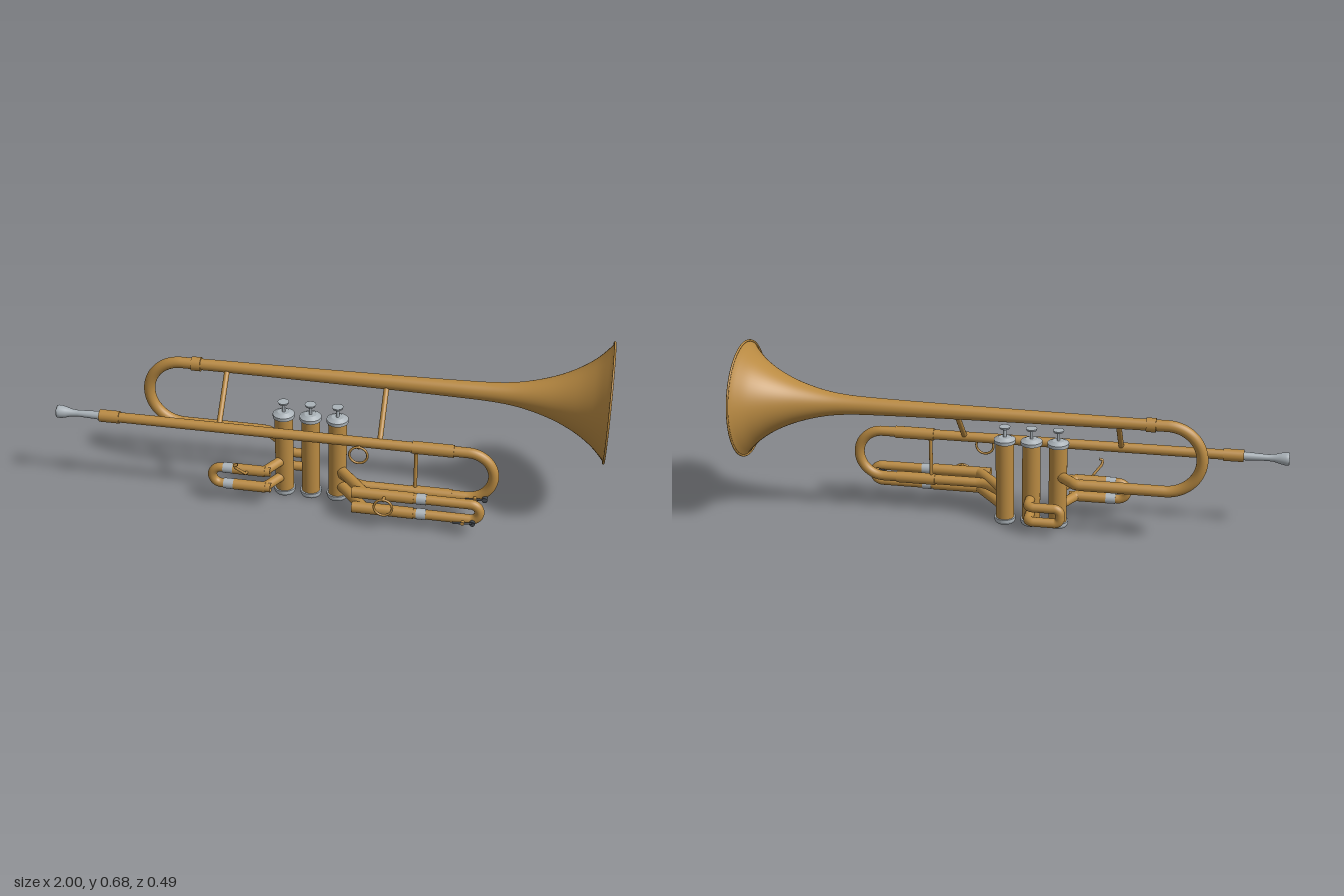
import * as THREE from 'three';

const V = (x, y, z) => new THREE.Vector3(x, y, z);

export function createModel() {
  const model = new THREE.Group();
  model.name = 'trumpet';
  const mat = (name, color, side = THREE.FrontSide) => {
    const m = new THREE.MeshStandardMaterial({ color, side });
    m.name = name;
    return m;
  };
  const brass = mat('brass', 0xb98a42, THREE.DoubleSide);
  const silver = mat('silver', 0xaab2b8, THREE.DoubleSide);
  const dark = mat('dark steel', 0x454a50);

  const add = (name, geo, material, parent = model) => {
    const mesh = new THREE.Mesh(geo, material);
    mesh.name = name;
    parent.add(mesh);
    return mesh;
  };

  // Path through points with circular fillets of radius r at the corners
  const roundedPath = (pts, radius) => {
    const path = new THREE.CurvePath();
    let from = pts[0];
    const lineTo = (to) => {
      if (from.distanceTo(to) > 1e-4) path.add(new THREE.LineCurve3(from, to));
      from = to;
    };
    for (let i = 1; i < pts.length - 1; i++) {
      const a = pts[i].clone().sub(pts[i - 1]).normalize();
      const b = pts[i + 1].clone().sub(pts[i]).normalize();
      const turn = a.angleTo(b);
      const t = radius * Math.tan(turn / 2);
      const h = radius * (4 / 3) * Math.tan(turn / 4);
      const p = pts[i].clone().addScaledVector(a, -t);
      const q = pts[i].clone().addScaledVector(b, t);
      lineTo(p);
      path.add(new THREE.CubicBezierCurve3(p, p.clone().addScaledVector(a, h), q.clone().addScaledVector(b, -h), q));
      from = q;
    }
    lineTo(pts[pts.length - 1]);
    return path;
  };
  const pipe = (name, pts, radius, r, material = brass, segments = 120) =>
    add(name, new THREE.TubeGeometry(roundedPath(pts, radius), segments, r, 20), material);

  // Straight capped rod between two points
  const rod = (name, a, b, r, material = brass) => {
    const m = add(name, new THREE.CylinderGeometry(r, r, a.distanceTo(b), 24), material);
    m.position.copy(a).add(b).multiplyScalar(0.5);
    m.quaternion.setFromUnitVectors(V(0, 1, 0), b.clone().sub(a).normalize());
    return m;
  };
  const sleeve = (name, x0, x1, y, z, r, material = brass) => rod(name, V(x0, y, z), V(x1, y, z), r, material);

  // Profile of [x, radius] pairs turned about an axis along x
  const turned = (name, profile, y, z, material, smooth) => {
    let pts = profile.map(([x, r]) => new THREE.Vector2(r, x));
    if (smooth) pts = new THREE.SplineCurve(pts).getPoints(60);
    const m = add(name, new THREE.LatheGeometry(pts, 64), material);
    m.rotation.z = -Math.PI / 2;
    m.position.set(0, y, z);
    return m;
  };

  // Bell with its rolled rim
  const bellY = 0.466, bellZ = -0.025;
  turned('bell', [[-0.5, 0.021], [-0.2, 0.023], [0.2, 0.027], [0.45, 0.031], [0.6, 0.036], [0.7, 0.049],
    [0.8, 0.077], [0.88, 0.113], [0.94, 0.153], [0.98, 0.192], [0.998, 0.215]], bellY, bellZ, brass, true);
  const rim = add('bellRim', new THREE.TorusGeometry(0.214, 0.004, 10, 72), brass);
  rim.rotation.y = Math.PI / 2;
  rim.position.set(0.996, bellY, bellZ);
  sleeve('bellFerrule', -0.52, -0.485, bellY, bellZ, 0.026);

  // Rear bow returning to the first valve
  pipe('bellBow', [V(-0.49, bellY, bellZ), V(-0.69, bellY, bellZ), V(-0.69, 0.208, bellZ),
    V(-0.25, 0.208, bellZ)], 0.129, 0.021);
  pipe('bellBowInlet', [V(-0.26, 0.208, bellZ), V(-0.235, 0.208, bellZ), V(-0.165, 0.208, 0.045)], 0.03, 0.02, brass, 24);

  // Mouthpiece
  const leadY = 0.3, leadZ = 0.132;
  turned('mouthpiece', [[-0.965, 0.004], [-0.985, 0.015], [-0.997, 0.019], [-1, 0.022], [-0.996, 0.024],
    [-0.985, 0.024], [-0.965, 0.02], [-0.945, 0.014], [-0.92, 0.012], [-0.83, 0.016], [-0.82, 0.016]],
  leadY, leadZ, silver);

  // Leadpipe and main tuning slide
  sleeve('mouthpieceReceiver', -0.835, -0.76, leadY, leadZ, 0.023);
  pipe('leadpipeAndTuningSlide', [V(-0.78, leadY, leadZ), V(0.62, leadY, leadZ), V(0.62, 0.112, leadZ),
    V(0.13, 0.112, leadZ), V(0.05, 0.112, 0.06)], 0.0935, 0.019, brass, 240);
  sleeve('tuningSleeve', 0.325, 0.475, leadY, leadZ, 0.023);
  sleeve('lowerTuningSleeve', 0.325, 0.475, 0.112, leadZ, 0.022);

  // Three valves
  const valveZ = 0.052;
  [-0.16, -0.06, 0.04].forEach((x, i) => {
    const valve = new THREE.Group();
    valve.name = 'valve' + (i + 1);
    valve.position.set(x, 0, valveZ);
    model.add(valve);
    const disc = (name, y0, y1, r0, r1, m) => {
      add(name, new THREE.CylinderGeometry(r1, r0, y1 - y0, 32), m, valve).position.y = (y0 + y1) / 2;
    };
    disc('casing', 0.015, 0.33, 0.034, 0.034, brass);
    disc('bottomCapRim', 0.009, 0.02, 0.04, 0.04, silver);
    disc('bottomCap', 0, 0.009, 0.036, 0.04, silver);
    disc('topCap', 0.325, 0.338, 0.04, 0.04, silver);
    disc('topCapDome', 0.338, 0.347, 0.037, 0.022, silver);
    disc('stem', 0.34, 0.382, 0.006, 0.006, silver);
    disc('fingerButton', 0.38, 0.388, 0.018, 0.021, silver);
  });

  // First valve slide, rear bow and pair of legs
  const s1Z = 0.155;
  pipe('firstSlideBow', [V(-0.19, 0.144, s1Z), V(-0.41, 0.144, s1Z), V(-0.41, 0.075, s1Z), V(-0.19, 0.075, s1Z)], 0.0344, 0.017);
  for (const y of [0.144, 0.075]) {
    sleeve('firstSlideSleeve', -0.33, -0.21, y, s1Z, 0.02);
    sleeve('firstSlideFerrule', -0.367, -0.33, y, s1Z, 0.0195, silver);
    pipe('firstSlideInlet', [V(-0.25, y, s1Z), V(-0.215, y, s1Z), V(-0.165, y, 0.065)], 0.03, 0.018, brass, 24);
  }
  pipe('thumbHook', [V(-0.275, 0.145, 0.17), V(-0.275, 0.15, 0.19), V(-0.305, 0.185, 0.212),
    V(-0.31, 0.202, 0.222), V(-0.295, 0.206, 0.22)], 0.005, 0.005, brass, 40);

  // Second valve slide behind the casings
  pipe('secondSlide', [V(-0.06, 0.111, 0.04), V(-0.06, 0.111, -0.042), V(-0.182, 0.111, -0.042),
    V(-0.182, 0.052, -0.042), V(-0.06, 0.052, -0.042), V(-0.06, 0.052, 0.04)], 0.022, 0.018);

  // Third valve slide, forward bow and pair of legs
  const s3Z = 0.196;
  pipe('thirdSlideBow', [V(0.2, 0.125, s3Z), V(0.582, 0.125, s3Z), V(0.582, 0.06, s3Z), V(0.2, 0.06, s3Z)], 0.0324, 0.018);
  for (const y of [0.125, 0.06]) {
    sleeve('thirdSlideSleeve', 0.12, 0.345, y, s3Z, 0.021);
    sleeve('thirdSlideFerrule', 0.355, 0.39, y, s3Z, 0.0205, silver);
    pipe('thirdSlideInlet', [V(0.2, y, s3Z), V(0.165, y, s3Z), V(0.05, y, 0.06)], 0.03, 0.02, brass, 24);
  }

  // Braces
  for (const x of [-0.385, 0.207]) rod('bellBrace', V(x, bellY, bellZ), V(x, leadY, leadZ), 0.01);
  rod('slideBrace', V(0.34, leadY, leadZ), V(0.34, 0.112, leadZ), 0.007);

  // Finger rings
  for (const [x, y, z] of [[0.135, 0.258, 0.156], [0.24, 0.1, 0.239]]) {
    add('fingerRing', new THREE.TorusGeometry(0.033, 0.0045, 10, 36), brass).position.set(x, y, z);
  }
  rod('leadpipeRingPost', V(0.135, 0.292, 0.14), V(0.135, 0.288, 0.156), 0.006);
  rod('slideRingPost', V(0.24, 0.125, 0.2), V(0.24, 0.13, 0.239), 0.006);

  // Water keys: lever, pivot and valve pad
  for (const [x, y, z] of [[0.49, 0.055, 0.222], [0.525, 0.12, 0.16]]) {
    rod('waterKeyLever', V(x, y, z), V(x + 0.08, y + 0.006, z), 0.004, dark);
    rod('waterKeyPivot', V(x + 0.035, y + 0.002, z - 0.02), V(x + 0.035, y + 0.002, z + 0.004), 0.007);
    rod('waterKeyPad', V(x + 0.07, y + 0.004, z - 0.018), V(x + 0.07, y + 0.004, z + 0.003), 0.01, dark);
  }

  return model;
}
